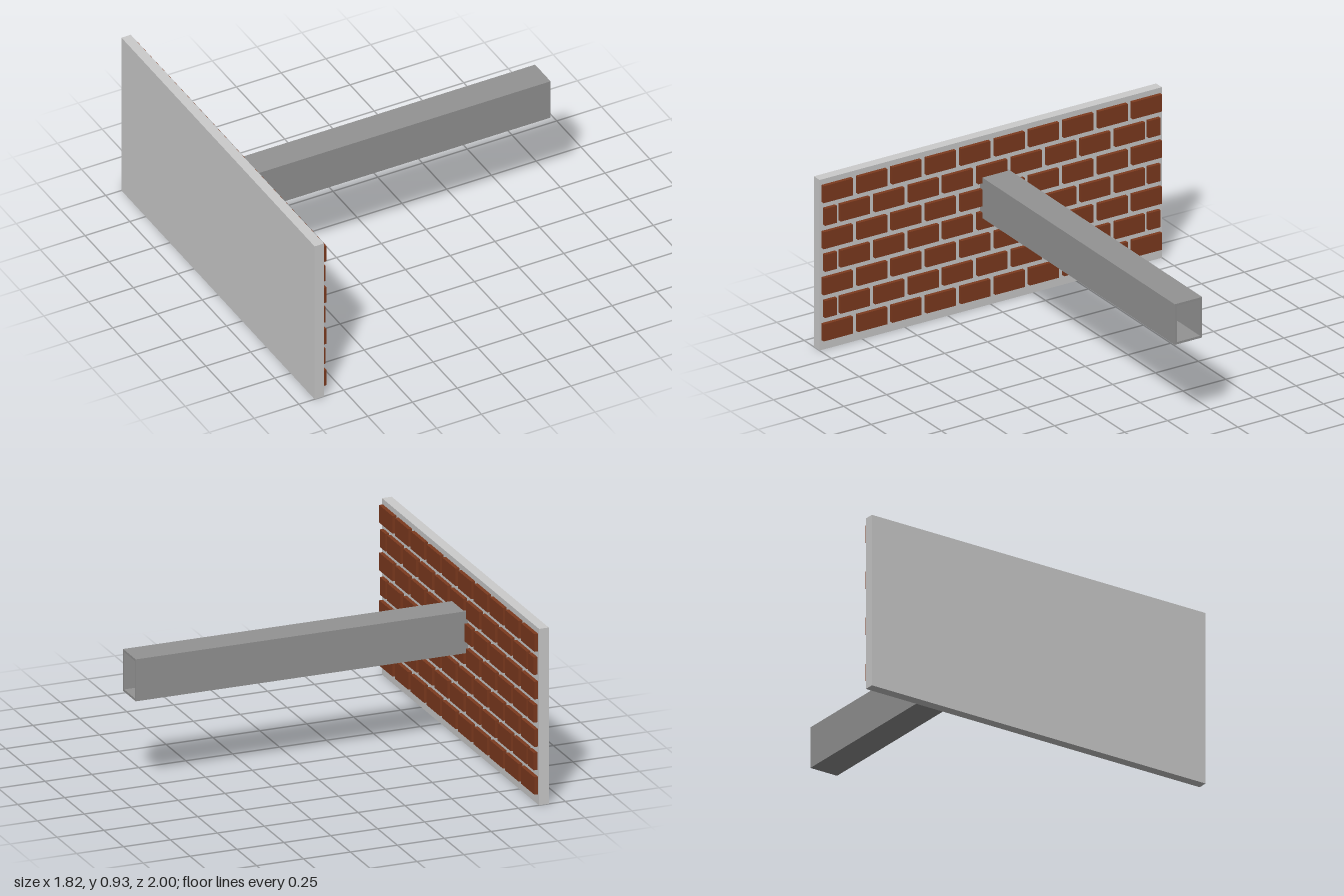
import * as THREE from 'three';

const material = (color) => new THREE.MeshStandardMaterial({ color });

export function createModel() {
  const model = new THREE.Group();
  const wallMat = material(0xcccccc);
  const brickMat = material(0x7d3a1e);
  const steelMat = material(0x939393);

  const addBox = (parent, name, mat, size, position) => {
    const mesh = new THREE.Mesh(new THREE.BoxGeometry(...size), mat);
    mesh.name = name;
    mesh.position.set(...position);
    parent.add(mesh);
  };

  // Mortar slab standing along z
  addBox(model, 'wallSlab', wallMat, [0.052, 0.925, 2], [-0.886, 0.4625, 0]);

  // Seven courses of bricks in running bond
  const bricks = new THREE.Group();
  bricks.name = 'bricks';
  model.add(bricks);
  const pitch = 0.2007, brickX = -0.851, depth = 0.022, height = 0.092;
  for (let row = 0; row < 7; row++) {
    const y = 0.1 + row * 0.125;
    const staggered = row % 2 === 1;
    const count = staggered ? 9 : 10;
    for (let i = 0; i < count; i++) {
      const z = (i - (count - 1) / 2) * pitch;
      addBox(bricks, 'brick', brickMat, [depth, height, 0.171], [brickX, y, z]);
    }
    // Half bricks close the staggered courses
    if (staggered) {
      for (const side of [-1, 1]) {
        addBox(bricks, 'halfBrick', brickMat, [depth, height, 0.07], [brickX, y, side * 0.945]);
      }
    }
  }

  // Hollow rectangular beam, open at the end, reaching out from the wall
  const w = 0.08, h = 0.11, t = 0.012, length = 1.772;
  const section = new THREE.Shape([
    new THREE.Vector2(-w, -h), new THREE.Vector2(w, -h),
    new THREE.Vector2(w, h), new THREE.Vector2(-w, h),
  ]);
  section.holes.push(new THREE.Path([
    new THREE.Vector2(-w + t, -h + t), new THREE.Vector2(-w + t, h - t),
    new THREE.Vector2(w - t, h - t), new THREE.Vector2(w - t, -h + t),
  ]));
  const beam = new THREE.Mesh(
    new THREE.ExtrudeGeometry(section, { depth: length, bevelEnabled: false }), steelMat);
  beam.name = 'hollowBeam';
  beam.rotation.y = Math.PI / 2;
  beam.position.set(-0.86, 0.6, -0.018);
  model.add(beam);

  return model;
}
